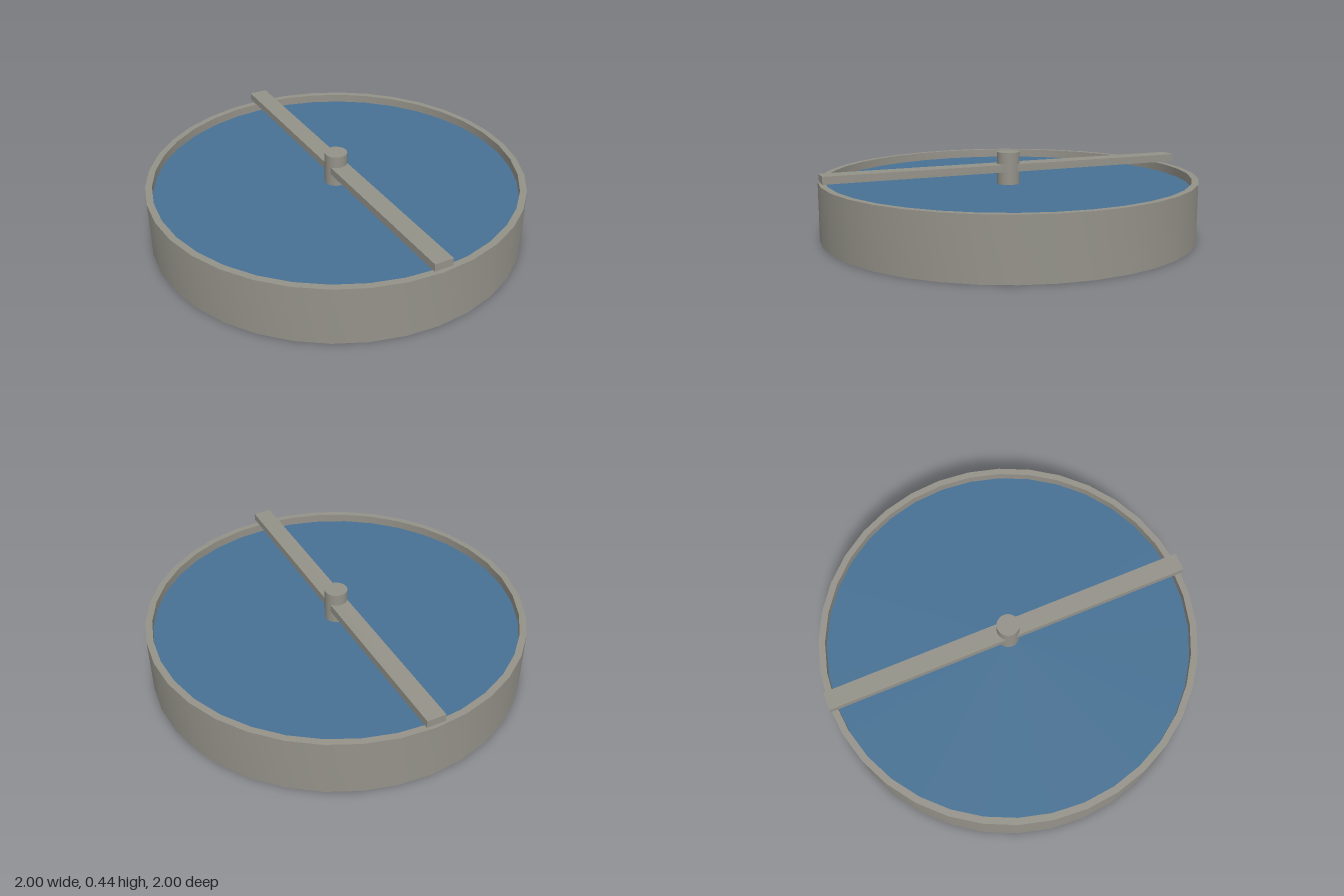
import * as THREE from 'three';
import { toCreasedNormals } from 'three/addons/utils/BufferGeometryUtils.js';

export function createModel() {
  const stone = new THREE.MeshStandardMaterial({ color: 0x949289 });
  stone.name = 'grey concrete';
  const blue = new THREE.MeshStandardMaterial({ color: 0x477194 });
  blue.name = 'water blue';

  const model = new THREE.Group();
  model.name = 'circularTank';
  const add = (name, geometry, material, y) => {
    const mesh = new THREE.Mesh(geometry, material);
    mesh.name = name;
    mesh.position.y = y;
    model.add(mesh);
  };

  const sides = 36, outer = 1, inner = 0.965, height = 0.31;

  // Open ring wall, smooth around and sharp at the rims
  const profile = [[inner, 0], [outer, 0], [outer, height], [inner, height], [inner, 0]]
    .map(([r, y]) => new THREE.Vector2(r, y));
  add('tankWall', toCreasedNormals(new THREE.LatheGeometry(profile, sides), 0.6), stone, 0);

  // Water surface, a thin disc visible from above and below
  add('waterSurface', new THREE.CylinderGeometry(inner, inner, 0.005, sides), blue, 0.2615);

  // Bridge across the tank, just clear of the rim
  add('bridge', new THREE.BoxGeometry(0.1, 0.04, 2), stone, 0.352);

  // Central post through the bridge and water
  add('centrePost', new THREE.CylinderGeometry(0.06, 0.06, 0.185, 24), stone, 0.3425);

  return model;
}
